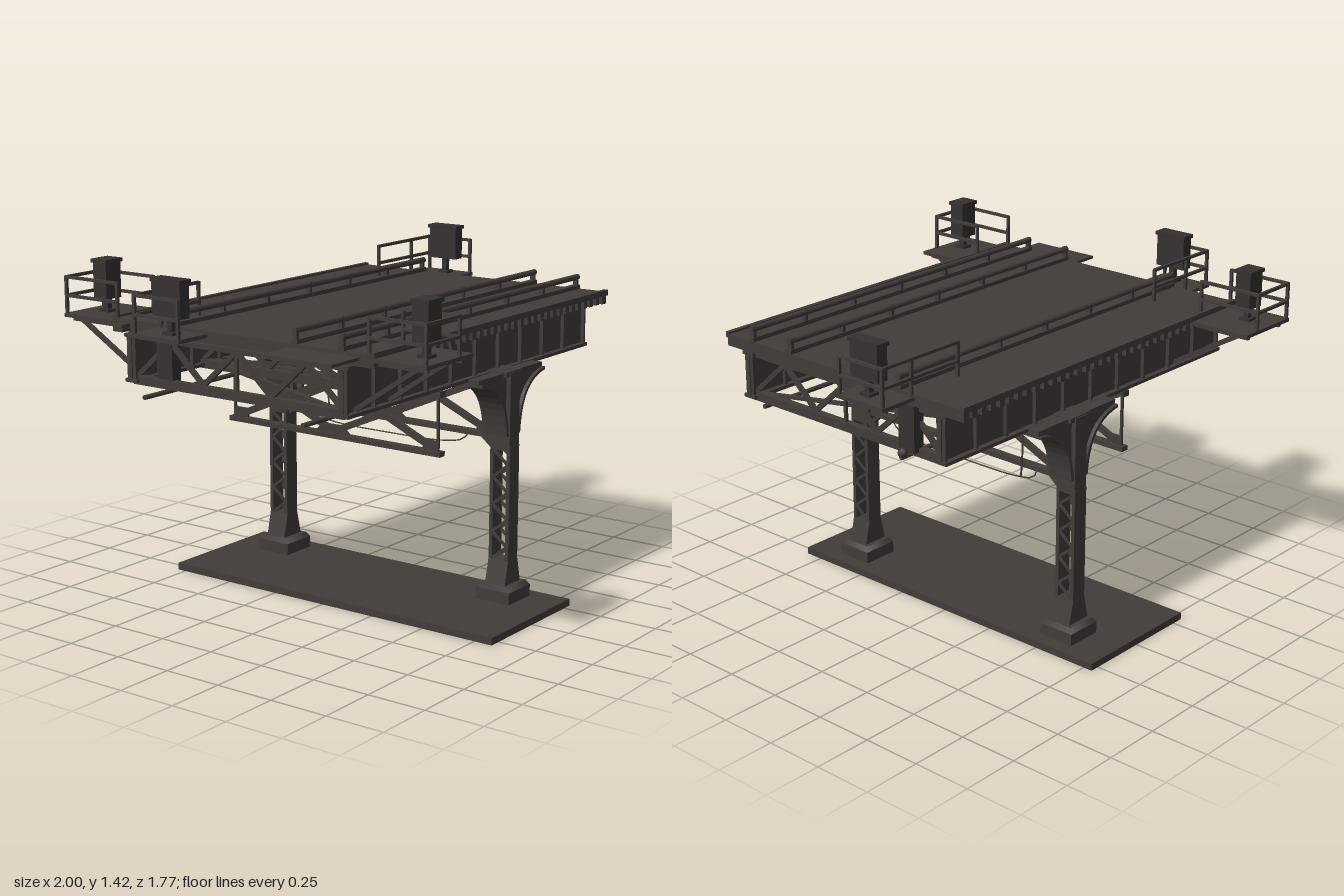
import * as THREE from 'three';

const steel = new THREE.MeshStandardMaterial({ color: 0x423c3a });
steel.name = 'weathered steel';
const darkSteel = new THREE.MeshStandardMaterial({ color: 0x353130 });
darkSteel.name = 'dark cabinet steel';

export function createModel() {
  const root = new THREE.Group();
  root.name = 'elevatedRailwaySpan';
  let parent = root;

  const group = (name) => {
    parent = new THREE.Group();
    parent.name = name;
    root.add(parent);
  };
  const add = (name, geo, mat = steel) => {
    const m = new THREE.Mesh(geo, mat);
    m.name = name;
    parent.add(m);
    return m;
  };
  // box given by its limits on each axis
  const box = (name, x0, x1, y0, y1, z0, z1, mat) => {
    const m = add(name, new THREE.BoxGeometry(x1 - x0, y1 - y0, z1 - z0), mat);
    m.position.set((x0 + x1) / 2, (y0 + y1) / 2, (z0 + z1) / 2);
  };
  // straight bar between two points
  const beam = (name, a, b, w = 0.02, h = w) => {
    const p = new THREE.Vector3(...a), q = new THREE.Vector3(...b);
    const m = add(name, new THREE.BoxGeometry(w, h, p.distanceTo(q)));
    m.position.copy(p).add(q).multiplyScalar(0.5);
    m.lookAt(q);
  };
  // round bar along x
  const rod = (name, x0, x1, y, z, r) => {
    const m = add(name, new THREE.CylinderGeometry(r, r, x1 - x0, 8));
    m.rotation.z = Math.PI / 2;
    m.position.set((x0 + x1) / 2, y, z);
  };
  const wire = (name, pts, r) => add(name, new THREE.TubeGeometry(
    new THREE.CatmullRomCurve3(pts.map((p) => new THREE.Vector3(...p))), 24, r, 5));

  // ground slab
  box('baseSlab', -0.3, 0.29, 0, 0.03, -0.79, 0.83);

  // columns: footing, tapered shoe, laced shaft and flared head
  const CX = 0.145;
  const prism = (name, shape, depth, z) => add(name,
    new THREE.ExtrudeGeometry(shape, { depth, bevelEnabled: false, curveSegments: 10 })).position.set(CX, 0, z);
  for (const [side, zc] of [['front', 0.595], ['back', -0.555]]) {
    const s = Math.sign(zc);
    group(side + 'Column');
    box('footing', 0.068, 0.23, 0.03, 0.08, zc - 0.08, zc + 0.08);
    const cap = add('footingCap', new THREE.CylinderGeometry(0.094, 0.113, 0.02, 4));
    cap.geometry.rotateY(Math.PI / 4);
    cap.position.set(CX + 0.004, 0.09, zc);
    const shoe = new THREE.Shape();
    shoe.moveTo(-0.06, 0.09);
    shoe.lineTo(0.06, 0.09);
    shoe.lineTo(0.035, 0.2);
    shoe.lineTo(-0.035, 0.2);
    prism('shoe', shoe, 0.095, zc - 0.0475);
    for (const k of [-1, 1]) {
      const z = zc + k * 0.039;
      box('channel', CX - 0.035, CX + 0.035, 0.19, 0.68, z - 0.008, z + 0.008);
      const x = CX + k * 0.03;
      const n = 8, step = 0.46 / n;
      for (let i = 0; i < n; i++) {
        const y = 0.2 + i * step, d = i % 2 ? 0.036 : -0.036;
        beam('lacing', [x, y, zc + d], [x, y + step, zc - d], 0.006, 0.012);
      }
    }
    box('upperShaft', CX - 0.035, CX + 0.035, 0.66, 0.985, zc - 0.045, zc + 0.045);
    // curved knees, with a wide flange along the curve
    const web = new THREE.Shape();
    web.moveTo(-0.05, 0.725);
    web.bezierCurveTo(-0.06, 0.87, -0.12, 0.94, -0.235, 0.955);
    web.lineTo(-0.235, 0.985);
    web.lineTo(0.235, 0.985);
    web.lineTo(0.235, 0.955);
    web.bezierCurveTo(0.12, 0.94, 0.06, 0.87, 0.05, 0.725);
    prism('kneeWeb', web, 0.05, zc - 0.025);
    const zHead = zc - s * 0.017;
    for (const k of [-1, 1]) {
      const fl = new THREE.Shape();
      fl.moveTo(k * 0.05, 0.725);
      fl.bezierCurveTo(k * 0.06, 0.87, k * 0.12, 0.94, k * 0.235, 0.955);
      fl.lineTo(k * 0.235, 0.967);
      fl.bezierCurveTo(k * 0.115, 0.952, k * 0.046, 0.88, k * 0.035, 0.725);
      prism('kneeFlange', fl, 0.115, zHead - 0.0575);
    }
    box('girderSeat', CX - 0.06, CX + 0.06, 0.97, 0.99, zHead - 0.0575, zHead + 0.0575);
    beam('trussKnee', [CX, 0.66, zc - s * 0.045], [CX, 0.705, zc - s * 0.1], 0.03, 0.015);
  }

  // plate girders with flanges and stiffeners
  for (const [side, zc] of [['front', 0.535], ['back', -0.5]]) {
    group(side + 'Girder');
    box('web', -0.87, 0.84, 0.98, 1.16, zc - 0.006, zc + 0.006);
    box('topFlange', -0.87, 0.84, 1.152, 1.166, zc - 0.03, zc + 0.03);
    box('bottomFlange', -0.87, 0.84, 0.972, 0.986, zc - 0.03, zc + 0.03);
    for (let i = 0; i <= 10; i++) {
      const x = -0.86 + i * 0.169;
      box('stiffener', x - 0.005, x + 0.005, 0.98, 1.16, zc - 0.022, zc + 0.022);
    }
  }

  // shallow cross frames between the girders
  for (const x of [-0.84, -0.45, -0.05, 0.38, 0.81]) {
    group('crossFrame');
    beam('topChord', [x, 1.155, -0.5], [x, 1.155, 0.535], 0.025, 0.02);
    beam('bottomChord', [x, 0.982, -0.5], [x, 0.982, 0.535], 0.03, 0.036);
    const n = 6, w = 1.0 / n;
    for (let i = 0; i < n; i++) {
      const z = -0.482 + i * w, up = i % 2;
      beam('diagonal', [x, up ? 1.15 : 1.0, z], [x, up ? 1.0 : 1.15, z + w], 0.014, 0.02);
    }
    beam('middlePost', [x, 0.99, 0.018], [x, 1.155, 0.018], 0.012);
  }
  // horizontal bracing under the deck
  group('lateralBracing');
  for (let i = 0; i < 4; i++) {
    const x = -0.84 + i * 0.4125;
    beam('lateral', [x, 0.99, i % 2 ? -0.48 : 0.52], [x + 0.4125, 0.99, i % 2 ? 0.52 : -0.48], 0.022, 0.012);
  }

  // deep X-braced trusses; only the one between the columns has heavy end posts
  for (const [x, post] of [[CX, 0.026], [-0.24, 0.01]]) {
    group('deepTruss');
    beam('topChord', [x, 0.95, -0.52], [x, 0.95, 0.55], 0.036, 0.024);
    beam('bottomChord', [x, 0.71, -0.52], [x, 0.71, 0.55], 0.036, 0.02);
    for (const [z0, z1] of [[0.015, 0.51], [-0.48, 0.015]]) {
      beam('diagonal', [x - 0.006, 0.725, z0], [x - 0.006, 0.94, z1], 0.014, 0.028);
      beam('diagonal', [x + 0.006, 0.94, z0], [x + 0.006, 0.725, z1], 0.014, 0.028);
    }
    // gusset plates at the bottom corners and the middle
    for (const [z, k] of [[-0.5, 1], [0.53, -1]]) {
      beam('endPost', [x, 0.71, z], [x, 0.95, z], post);
      beam('cornerGusset', [x, 0.735, z], [x, 0.735, z + k * 0.07], 0.01, 0.05);
    }
    const plate = new THREE.Shape();
    plate.moveTo(-0.1, 0.71);
    plate.lineTo(0.1, 0.71);
    plate.lineTo(0.045, 0.755);
    plate.lineTo(-0.045, 0.755);
    const gusset = add('middleGusset', new THREE.ExtrudeGeometry(plate, { depth: 0.014, bevelEnabled: false }));
    gusset.rotation.y = Math.PI / 2;
    gusset.position.set(x - 0.007, 0, 0.015);
  }

  // deck plate on short ties over each girder, closed by a beam at both ends
  group('deck');
  const ties = 34;
  for (let i = 0; i < ties; i++) {
    const x = -0.82 + i * 1.64 / (ties - 1);
    for (const [z0, z1] of [[-0.61, -0.46], [0.49, 0.65]]) box('tie', x - 0.013, x + 0.013, 1.166, 1.202, z0, z1);
  }
  for (const x of [-0.82, 0.82]) box('endBeam', x - 0.015, x + 0.015, 1.165, 1.202, -0.615, 0.655);
  box('deckPlate', -0.84, 0.84, 1.2, 1.215, -0.62, 0.66);
  for (const z of [-0.61, 0.65]) box('edgeBoard', -0.84, 0.84, 1.205, 1.224, z - 0.01, z + 0.01);

  // raised rails on short posts
  group('rails');
  for (const z of [-0.29, 0.295, 0.51]) {
    box('lowerRail', -0.84, 0.84, 1.215, 1.232, z - 0.014, z + 0.014);
    rod('raisedRail', -0.84, 0.84, 1.265, z, 0.013);
    for (let i = 0; i < 7; i++) {
      const x = -0.83 + i * 0.276;
      box('railPost', x - 0.007, x + 0.007, 1.215, 1.275, z - 0.01, z + 0.01);
    }
  }

  // signal cabinet on a stand
  const cabinet = (x0, x1, y0, z0, z1) => {
    const xm = (x0 + x1) / 2, zm = (z0 + z1) / 2;
    box('cabinetStand', xm - 0.012, xm + 0.012, 1.2, y0, zm - 0.012, zm + 0.012, darkSteel);
    box('cabinetFoot', xm - 0.025, xm + 0.025, 1.2, 1.215, zm - 0.025, zm + 0.025, darkSteel);
    box('cabinet', x0, x1, y0, 1.405, z0, z1, darkSteel);
    box('cabinetLid', x0 - 0.006, x1 + 0.006, 1.405, 1.42, z0 - 0.006, z1 + 0.006, darkSteel);
  };
  // two-bar railing through a list of x, z points
  const railing = (pts) => pts.forEach(([x, z], i) => {
    beam('railingPost', [x, 1.2, z], [x, 1.355, z], 0.012);
    if (!i) return;
    const [px, pz] = pts[i - 1];
    for (const y of [1.275, 1.35]) beam('railingBar', [px, y, pz], [x, y, z], 0.012);
  });

  // corner platforms at the front and back
  for (const [name, ze, zi, zc] of [['front', 0.885, 0.63, 0.795], ['back', -0.885, -0.6, -0.77]]) {
    group(name + 'Platform');
    box('platformPlate', -0.84, -0.54, 1.188, 1.203, Math.min(ze, zi), Math.max(ze, zi));
    const e = ze - Math.sign(ze) * 0.008;
    railing([[-0.62, zi], [-0.62, e], [-0.83, e], [-0.83, zi]]);
    cabinet(-0.75, -0.665, 1.26, zc - 0.035, zc + 0.035);
    for (const x of [-0.8, -0.58]) {
      beam('platformBrace', [x, 1.19, ze * 0.95], [x, 0.99, ze > 0 ? 0.54 : -0.5], 0.014, 0.018);
      beam('platformBearer', [x, 1.18, ze * 0.98], [x, 1.18, zi * 0.85], 0.016, 0.02);
    }
  }
  // end platforms
  for (const k of [-1, 1]) {
    group(k < 0 ? 'rightPlatform' : 'leftPlatform');
    box('platformPlate', k < 0 ? -1 : 0.82, k < 0 ? -0.82 : 1, 1.188, 1.203, -0.37, -0.13);
    railing([[k * (k < 0 ? 0.62 : 0.59), -0.36], [k * 0.84, -0.36], [k * 0.99, -0.36], [k * 0.99, -0.14]]);
    cabinet(k * 0.927 - 0.026, k * 0.927 + 0.026, 1.27, -0.3, -0.16);
    box('junctionBox', k * 0.825 - 0.025, k * 0.825 + 0.025, 0.985, 1.17, -0.38, -0.3, darkSteel);
  }
  // plain walkway plate at the model's right end
  group('walkway');
  box('walkwayPlate', -1, -0.82, 1.188, 1.2, 0.27, 0.59);

  // service pipes and cables
  group('services');
  rod('pipe', -0.99, 0.84, 0.957, 0.45, 0.01);
  rod('pipe', -0.99, 0.86, 0.957, -0.32, 0.01);
  add('pipeEnd', new THREE.SphereGeometry(0.02, 10, 8)).position.set(0.85, 0.975, -0.32);
  box('endStub', -0.88, -0.83, 1.17, 1.2, -0.58, -0.53);
  wire('slungCable', [[0.155, 0.71, 0.42], [0.155, 0.67, 0.385], [0.155, 0.65, 0.3], [0.155, 0.642, 0.02],
    [0.155, 0.65, -0.3], [0.155, 0.67, -0.37], [0.155, 0.71, -0.385]], 0.003);
  wire('hangingCable', [[0.21, 0.96, -0.35], [0.215, 0.82, -0.36], [0.212, 0.68, -0.35]], 0.004);

  return root;
}
